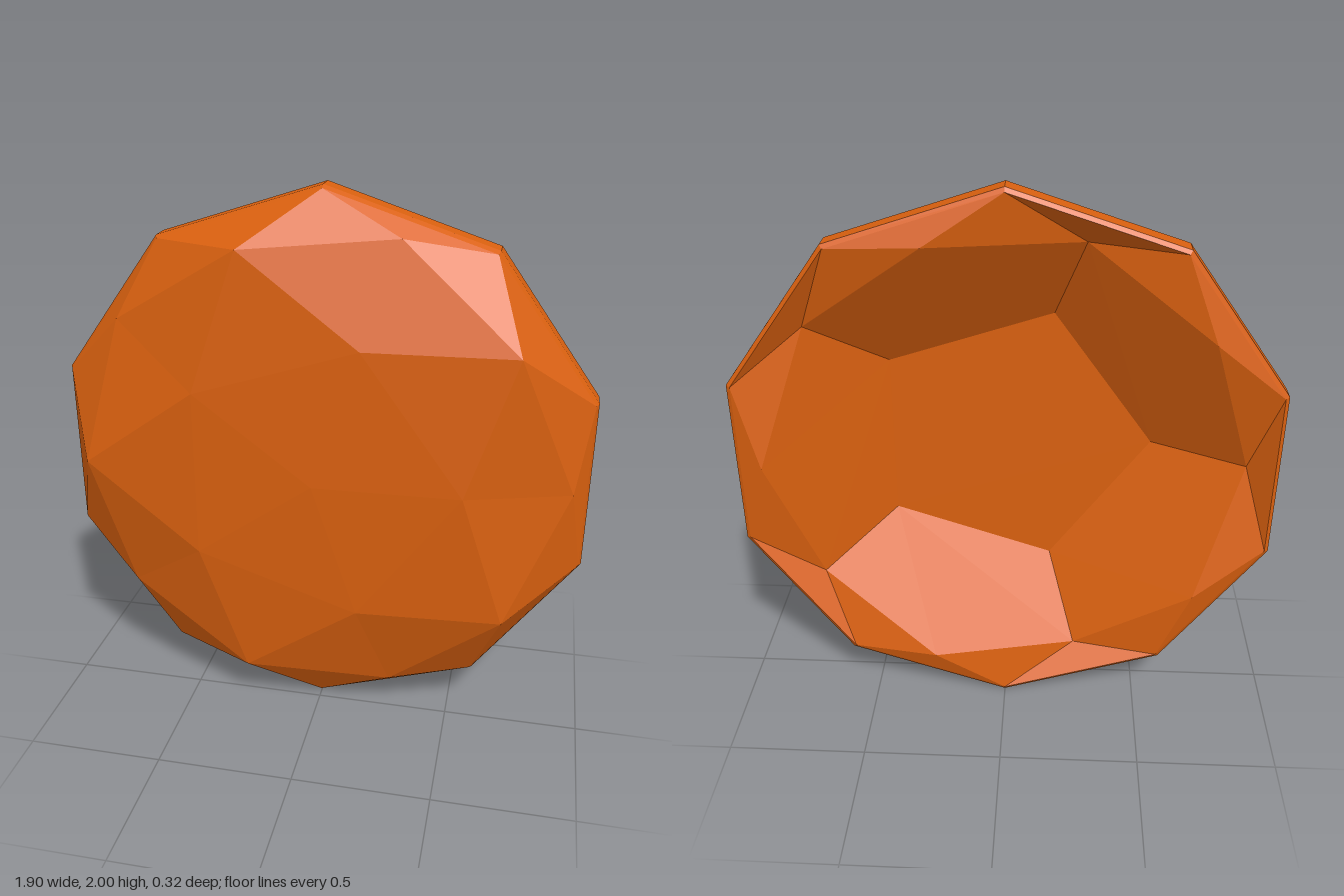
import * as THREE from 'three';

// Point at radius r, angle in degrees and depth z, around the disc centre
const polar = (r, z) => (deg) => {
  const t = THREE.MathUtils.degToRad(deg);
  return [r * Math.cos(t), 1 + r * Math.sin(t), z];
};

// Flat-shaded mesh from convex polygons; flip turns them to face the back
function facets(name, polygons, material, flip = false) {
  const pos = [];
  for (const poly of polygons) {
    const q = flip ? [...poly].reverse() : poly;
    for (let i = 1; i < q.length - 1; i++) pos.push(...q[0], ...q[i], ...q[i + 1]);
  }
  const geo = new THREE.BufferGeometry();
  geo.setAttribute('position', new THREE.Float32BufferAttribute(pos, 3));
  geo.computeVertexNormals();
  const mesh = new THREE.Mesh(geo, material);
  mesh.name = name;
  return mesh;
}

export function createModel() {
  const group = new THREE.Group();
  group.name = 'facetedShell';
  const orange = new THREE.MeshStandardMaterial({ color: 0xd9600f });
  orange.name = 'orange';

  // Front dome rings
  const apex = [0, 1, 0.16];
  const inner = polar(0.526, 0.145);
  const shoulder = polar(0.85, 0.11);
  const low = polar(0.895, 0.03);
  // Rim rings, front to back
  const rim = [polar(0.99, -0.035), polar(1, -0.055), polar(1, -0.128), polar(0.985, -0.138)];
  const front = rim[0], back = rim[3];
  // Hollow back: floor corners, spoke ends and raised peaks
  const floor = polar(0.525, 0.11);
  const spoke = polar(0.85, -0.06);
  const peak = polar(0.855, -0.165);

  const dome = [], bowl = [], border = [], band = [];
  for (let k = 0; k < 5; k++) {
    const a = 72 * k;
    dome.push(
      [apex, inner(a), inner(a + 72)],
      [inner(a), shoulder(a + 36), inner(a + 72)],
      [inner(a), low(a), shoulder(a + 36)],
      [inner(a), shoulder(a - 36), low(a)],
      [low(a), front(a - 18), front(a + 18)],
      [low(a), front(a + 18), shoulder(a + 36)],
      [shoulder(a + 36), front(a + 18), front(a + 54)],
      [shoulder(a + 36), front(a + 54), low(a + 72)],
    );
    bowl.push([floor(a - 36), spoke(a - 36), peak(a), spoke(a + 36), floor(a + 36)]);
    border.push(
      [peak(a), back(a - 18), back(a + 18)],
      [peak(a), back(a + 18), spoke(a + 36)],
      [spoke(a + 36), back(a + 18), back(a + 54)],
      [spoke(a + 36), back(a + 54), peak(a + 72)],
    );
  }
  bowl.push([36, 108, 180, 252, 324].map(floor));

  // Ten-sided edge band with small bevels
  for (let k = 0; k < 10; k++) {
    const a = 36 * k - 18, b = a + 36;
    for (let i = 0; i < 3; i++) {
      band.push([rim[i](a), rim[i + 1](a), rim[i + 1](b), rim[i](b)]);
    }
  }

  group.add(
    facets('frontDome', dome, orange),
    facets('rimBand', band, orange),
    facets('backBowl', bowl, orange, true),
    facets('backBorder', border, orange, true),
  );
  return group;
}
